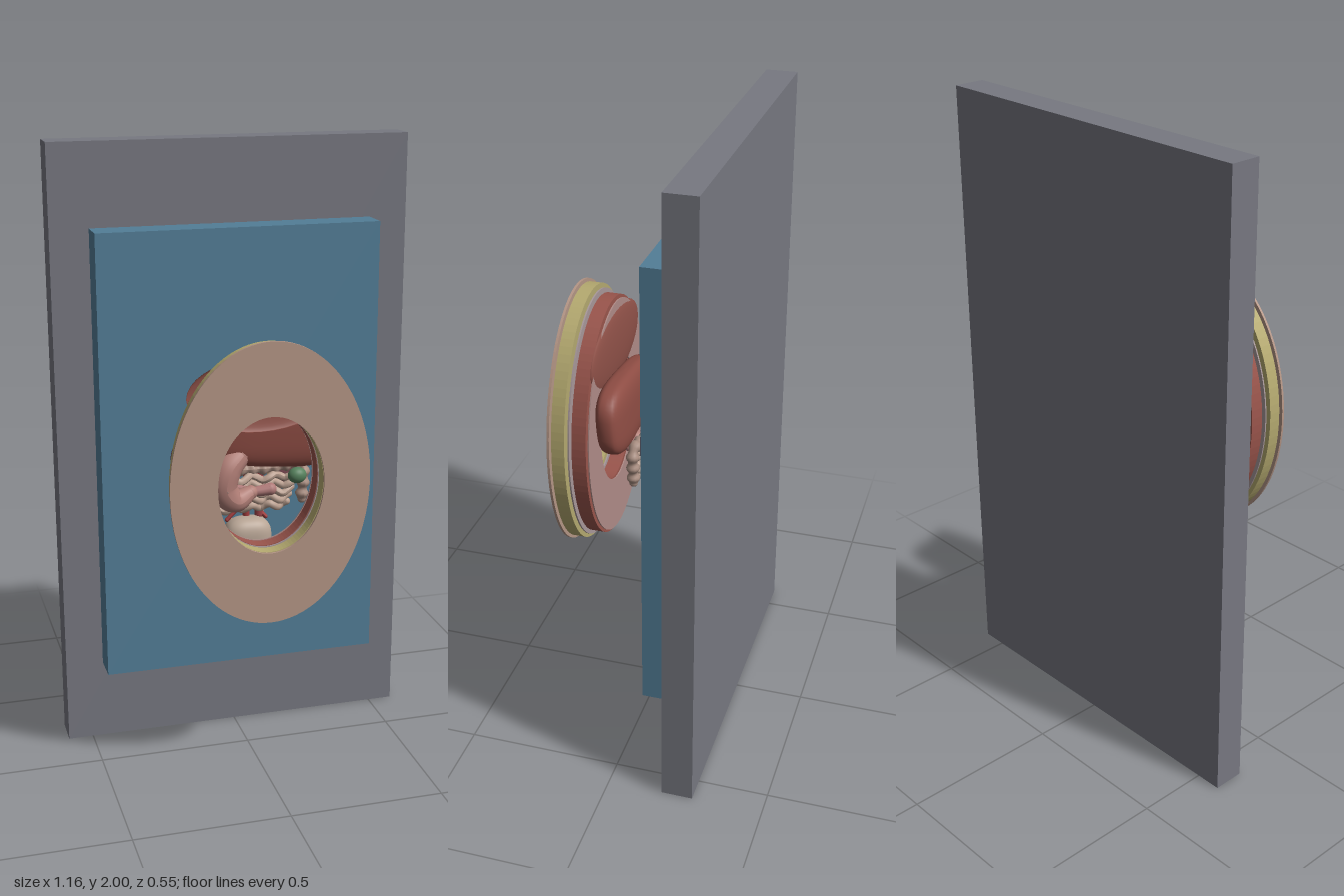
import * as THREE from 'three';

const V = (p) => new THREE.Vector3(...p);

export function createModel() {
  const model = new THREE.Group();

  function add(name, geometry, color, pos = [0, 0, 0], side = THREE.FrontSide) {
    const mesh = new THREE.Mesh(geometry, new THREE.MeshStandardMaterial({ color, side }));
    mesh.name = name;
    mesh.position.set(...pos);
    model.add(mesh);
    return mesh;
  }

  // Elliptical wall layer with the oval window cut through it
  function ringLayer(name, color, rx, ry, z0, z1) {
    const shape = new THREE.Shape();
    shape.absellipse(0, 0, rx, ry, 0, Math.PI * 2);
    const hole = new THREE.Path();
    hole.absellipse(0, 0, 0.168, 0.218, 0, Math.PI * 2, true);
    shape.holes.push(hole);
    const geo = new THREE.ExtrudeGeometry(shape, { depth: z1 - z0, bevelEnabled: false, curveSegments: 48 });
    add(name, geo, color, [0, 1.003, z0]);
  }

  // Rounded organ: a sphere squared off by a power, then bent by an optional rule
  function organ(name, color, half, pos, power = 1, rule = null) {
    const geo = new THREE.SphereGeometry(1, 40, 28);
    const p = geo.attributes.position;
    const v = new THREE.Vector3();
    const swell = (t) => Math.sign(t) * Math.abs(t) ** power;
    for (let i = 0; i < p.count; i++) {
      v.fromBufferAttribute(p, i);
      v.set(swell(v.x), swell(v.y), swell(v.z));
      if (rule) rule(v);
      p.setXYZ(i, v.x * half[0], v.y * half[1], v.z * half[2]);
    }
    geo.computeVertexNormals();
    return add(name, geo, color, pos);
  }

  // Tube through points whose radius follows a function of t, with closed ends
  function vessel(name, color, points, radius, segments = 48, radial = 12) {
    const curve = new THREE.CatmullRomCurve3(points.map(V));
    const geo = new THREE.TubeGeometry(curve, segments, 1, radial);
    const p = geo.attributes.position;
    const v = new THREE.Vector3();
    for (let i = 0; i < p.count; i++) {
      const t = Math.floor(i / (radial + 1)) / segments;
      const c = curve.getPointAt(t);
      const r = typeof radius === 'function' ? radius(t) : radius;
      v.fromBufferAttribute(p, i).sub(c).multiplyScalar(r).add(c);
      p.setXYZ(i, v.x, v.y, v.z);
    }
    geo.computeVertexNormals();
    add(name, geo, color);
    for (const t of [0, 1]) {
      const r = typeof radius === 'function' ? radius(t) : radius;
      add(name + 'End', new THREE.SphereGeometry(r, 12, 8), color, curve.getPointAt(t).toArray());
    }
  }

  // Backing slab and raised panel
  add('backBoard', new THREE.BoxGeometry(1.165, 2, 0.1), 0x777881, [0, 1, -0.225]);
  add('raisedPanel', new THREE.BoxGeometry(0.917, 1.465, 0.1), 0x537e97, [0, 1.003, -0.125]);

  // Body wall, from the outside in
  ringLayer('skinLayer', 0xb59686, 0.316, 0.449, 0.264, 0.272);
  ringLayer('fatLayer', 0xb5aa70, 0.307, 0.439, 0.218, 0.26);
  ringLayer('fasciaLayer', 0xa8989a, 0.297, 0.425, 0.206, 0.211);
  ringLayer('muscleLayer', 0x9a554c, 0.288, 0.41, 0.155, 0.201);
  ringLayer('innerLining', 0xb08c88, 0.283, 0.4, 0.146, 0.15);

  // Shallow dome sheet behind the upper wall
  const dome = add('diaphragm', new THREE.SphereGeometry(1, 36, 10, 0, Math.PI * 2, 0, Math.PI / 2),
    0x8f5148, [0, 1.26, 0.152], THREE.DoubleSide);
  dome.rotation.x = -Math.PI / 2;
  dome.scale.set(0.235, 0.018, 0.12);

  // Solid organs
  organ('liver', 0x8d4c43, [0.222, 0.125, 0.053], [0.078, 1.11, 0.088], 0.65, (v) => {
    const taper = 0.86 + 0.14 * v.x;
    v.y *= taper;
    v.z = v.z * taper + 0.16 * v.y;
  });
  organ('gallbladder', 0x55805c, [0.03, 0.026, 0.024], [0.13, 0.977, 0.115]);
  organ('spleen', 0x6b3d58, [0.062, 0.065, 0.034], [-0.207, 1.045, 0.083], 0.75);
  organ('bladder', 0xb8a595, [0.078, 0.066, 0.052], [0, 0.744, -0.003], 0.75);
  for (const s of [-1, 1]) {
    organ('kidney', 0x85505a, [0.06, 0.088, 0.038], [s * 0.137, 1.004, -0.017], 0.7, (v) => {
      v.x += s * 0.18 * (0.5 - v.y * v.y) - s * 0.08;
    });
    // Duct from each kidney down to the bladder
    vessel('ureter', 0xc0a27c, [[s * 0.09, 0.99, -0.03], [s * 0.07, 0.9, -0.03], [s * 0.05, 0.78, -0.02]], 0.005, 20, 8);
  }

  // Stomach and pancreas
  vessel('stomach', 0xb38078,
    [[-0.05, 1.055, 0.09], [-0.095, 1.01, 0.1], [-0.108, 0.95, 0.1], [-0.07, 0.905, 0.1], [-0.015, 0.925, 0.09]],
    (t) => 0.018 + 0.03 * Math.sin(Math.PI * (0.2 + 0.75 * t)), 48, 18);
  vessel('pancreas', 0xb07a78, [[-0.05, 0.935, 0.07], [0.0, 0.925, 0.085], [0.05, 0.93, 0.09]],
    (t) => 0.011 + 0.009 * t, 24);

  // Stacked wavy loops of small intestine
  for (let row = 0; row < 5; row++) {
    const reach = 0.15 - 0.008 * row;
    const points = [];
    for (let i = 0; i <= 16; i++) {
      const x = -1 + i / 8;
      points.push([x * reach, 0.955 - row * 0.024 + 0.008 * Math.cos(i * Math.PI / 2), 0.045 + 0.008 * Math.sin(i * 1.3 + row)]);
    }
    vessel('intestineLoop', 0xbba090, points, 0.012, 64, 10);
  }

  // Colon frame with a beaded outline
  vessel('colon', 0xa88d80,
    [[-0.165, 0.87, 0.04], [-0.18, 0.95, 0.045], [-0.175, 1.04, 0.045], [-0.08, 0.99, 0.03],
      [0.06, 0.98, 0.03], [0.165, 0.985, 0.04], [0.17, 0.87, 0.04]],
    (t) => 0.018 + 0.004 * Math.cos(t * 110), 120, 12);

  // Main vessels and their lower branches
  vessel('aorta', 0xa33f3f, [[0, 1.2, 0], [0, 1.0, -0.01], [0, 0.81, -0.018]], 0.012);
  vessel('veinTrunk', 0x9c4348, [[0.042, 1.18, 0], [0.042, 1.0, -0.01], [0.042, 0.81, -0.018]], 0.014);
  for (const s of [-1, 1]) {
    vessel('branchVessel', 0xa33f3f, [[0, 0.86, -0.015], [s * 0.035, 0.83, -0.015], [s * 0.065, 0.8, -0.015]], 0.007, 20, 8);
    vessel('kidneyVessel', 0xa33f3f, [[0, 1.02, -0.01], [s * 0.05, 1.015, -0.02], [s * 0.1, 1.0, -0.02]], 0.006, 20, 8);
  }

  // Fine strands tying the organs to the wall lining
  for (let i = 0; i < 4; i++) {
    const x = -0.21 + i * 0.035;
    vessel('strand', 0x8a7a74, [[x + 0.03, 0.93 + i * 0.012, 0.05], [x + 0.015, 0.91 + i * 0.015, 0.1], [x, 0.86 + i * 0.03, 0.147]], 0.002, 10, 6);
  }
  return model;
}
